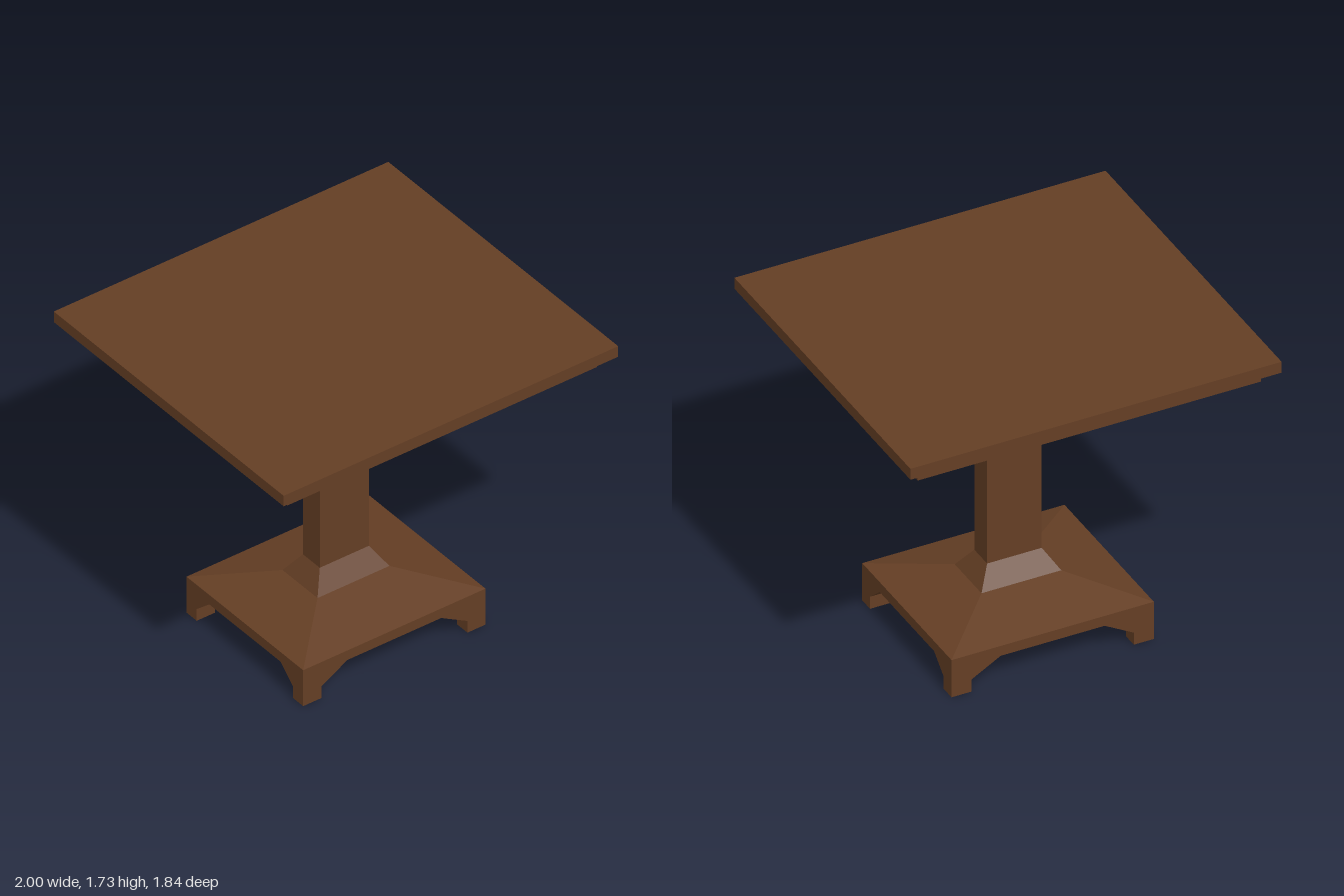
import * as THREE from 'three';
import { ConvexGeometry } from 'three/addons/geometries/ConvexGeometry.js';

// Closed solid through rectangular rings [y, halfWidth, halfDepth], bottom to top
function loft(rings) {
  const pos = [];
  const corners = rings.map(([y, w, d]) => [[w, y, d], [w, y, -d], [-w, y, -d], [-w, y, d]]);
  const quad = (a, b, c, d) => pos.push(...a, ...b, ...c, ...a, ...c, ...d);
  for (let r = 0; r < corners.length - 1; r++) {
    const lo = corners[r], hi = corners[r + 1];
    for (let i = 0; i < 4; i++) {
      const j = (i + 1) % 4;
      quad(lo[i], lo[j], hi[j], hi[i]);
    }
  }
  quad(...corners[0].slice().reverse());
  quad(...corners[corners.length - 1]);
  const geo = new THREE.BufferGeometry();
  geo.setAttribute('position', new THREE.Float32BufferAttribute(pos, 3));
  geo.computeVertexNormals();
  return geo;
}

export function createModel() {
  const table = new THREE.Group();
  table.name = 'pedestalTable';
  const wood = new THREE.MeshStandardMaterial({ color: 0x643e24 });
  wood.name = 'darkWood';
  const add = (name, geo, parent = table) => {
    const mesh = new THREE.Mesh(geo, wood);
    mesh.name = name;
    parent.add(mesh);
    return mesh;
  };

  // Top board with bevelled underside and apron
  add('tableTop', loft([
    [1.60, 0.925, 0.85], [1.645, 0.925, 0.85], [1.67, 1, 0.92], [1.733, 1, 0.92],
  ]));

  // Block and flared capital under the top
  add('supportBlock', loft([
    [1.457, 0.147, 0.067], [1.48, 0.165, 0.085], [1.54, 0.41, 0.34],
    [1.54, 0.545, 0.467], [1.60, 0.545, 0.467],
  ]));

  // Column with flared foot
  add('column', loft([
    [0.303, 0.215, 0.14], [0.41, 0.147, 0.067], [1.457, 0.147, 0.067],
  ]));

  // Sloped base plate
  add('base', loft([
    [0.158, 0.545, 0.467], [0.215, 0.545, 0.467], [0.303, 0.215, 0.14],
  ]));

  // Corner feet: square stub and flared bracket
  const X = 0.545, Z = 0.467, xi = 0.437, zi = 0.385;
  for (const sx of [-1, 1]) for (const sz of [-1, 1]) {
    const foot = new THREE.Group();
    foot.name = `${sz > 0 ? 'front' : 'back'}${sx > 0 ? 'Left' : 'Right'}Foot`;
    table.add(foot);
    const stub = add('stub', new THREE.BoxGeometry(X - xi, 0.07, Z - zi), foot);
    stub.position.set(sx * (X + xi) / 2, 0.035, sz * (Z + zi) / 2);
    const points = [
      [X, 0.07, Z], [xi, 0.07, Z], [xi, 0.07, zi], [X, 0.07, zi],
      [X, 0.158, Z], [0.28, 0.158, Z], [0.28, 0.158, zi], [xi, 0.158, 0.285], [X, 0.158, 0.285],
    ].map(([x, y, z]) => new THREE.Vector3(x * sx, y, z * sz));
    add('bracket', new ConvexGeometry(points), foot);
  }
  return table;
}
